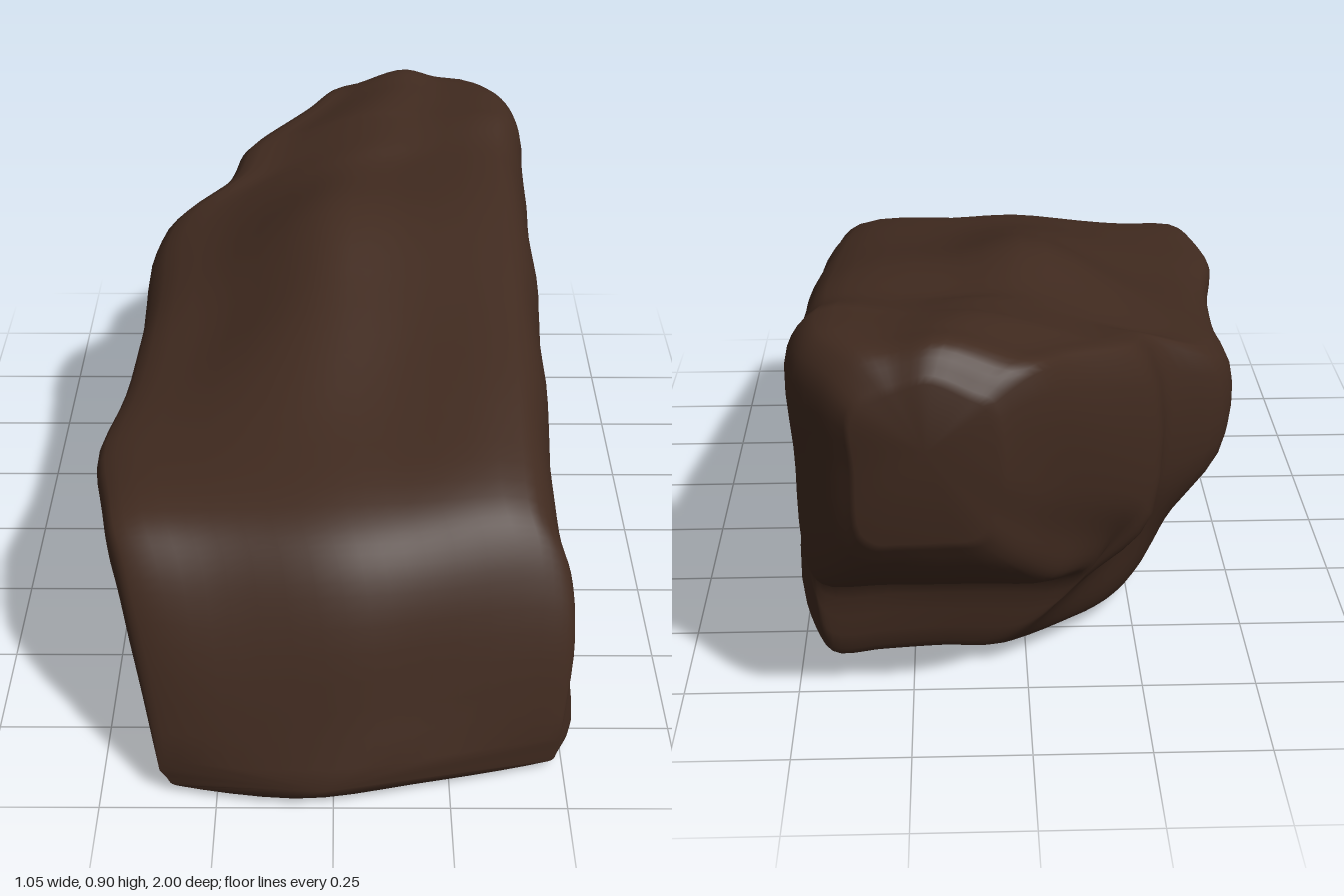
import * as THREE from 'three';

const AROUND = 64, ALONG = 64;
const mix = THREE.MathUtils.lerp;

// Cross-sections from front to back:
// z, base y, base left x, base right x, widest left x, its y, left shoulder y, crown y, right shoulder y, right x
const sections = [
  [1.0, .025, -.34, .48, -.37, .07, .09, .1, .09, .49],
  [.9, .01, -.34, .52, -.43, .33, .38, .4, .39, .51],
  [.82, .01, -.34, .52, -.46, .45, .5, .53, .51, .5],
  [.73, .005, -.34, .52, -.49, .51, .55, .59, .575, .475],
  [.45, .02, -.34, .52, -.525, .52, .56, .66, .645, .475],
  [.1, .02, -.34, .52, -.48, .48, .58, .76, .72, .485],
  [-.2, .03, -.31, .51, -.475, .47, .61, .835, .78, .49],
  [-.45, .035, -.19, .5, -.445, .45, .66, .82, .815, .49],
  [-.55, .045, -.1, .49, -.3, .4, .73, .845, .83, .49],
  [-.66, .055, .05, .46, -.265, .36, .76, .865, .86, .495],
  [-.7, .25, -.12, .47, -.24, .42, .77, .875, .865, .495],
  [-.82, .31, -.05, .46, -.11, .52, .81, .89, .875, .475],
  [-.92, .4, .02, .4, -.02, .58, .83, .895, .86, .41],
  [-.98, .5, .1, .34, .07, .64, .78, .83, .8, .35],
];

// Outline of one section, anticlockwise from the lower left
function outline([z, yb, bl, br, wl, wy, ty, yc, yr, xr]) {
  const h = yr - yb;
  const points = [
    [bl + .02, yb], [mix(bl, br, .33), yb], [mix(bl, br, .67), yb], [br - .03, yb],
    [br, yb + .08 * h], [mix(br, xr, .6), yb + .5 * h], [xr, yr - .12 * h],
    [xr - .06, yr], [mix(xr, wl, .33), mix(yr, yc, .4)], [mix(xr, wl, .53), yc],
    [mix(xr, wl, .8), mix(yc, ty, .6)], [wl + .02, ty],
    [wl, wy], [mix(wl, bl, .5), mix(wy, yb, .5)], [mix(bl, wl, .15), mix(yb, wy, .12)],
  ];
  // The front face is bowed in plan
  const bow = Math.max(0, (z - .5) / .5);
  return points.map(([x, y]) => new THREE.Vector3(
    x, y, z - bow * (x > -.03 ? .24 * (x + .03) : .14 * (-.03 - x))));
}

// Gentle weathered unevenness
function weather(p) {
  const { x, y, z } = p;
  const a = Math.sin(9 * x + 4 * z) * Math.sin(11 * y + 5 * z + 1);
  const b = Math.sin(17 * z + 6 * y) * Math.sin(13 * x - 8 * y);
  p.x += .004 * b;
  p.y = Math.max(.003, y + .005 * a);
  p.z += .006 * a * Math.min(1, Math.abs(z));
  return p;
}

function rockGeometry() {
  // Smooth around each outline, then along the length
  const rings = sections.map(s => {
    const curve = new THREE.CatmullRomCurve3(outline(s), true, 'centripetal');
    return Array.from({ length: AROUND }, (_, j) => curve.getPoint(j / AROUND));
  });
  const columns = Array.from({ length: AROUND }, (_, j) =>
    new THREE.CatmullRomCurve3(rings.map(r => r[j]), false, 'centripetal'));

  const pos = [], index = [];
  for (let i = 0; i <= ALONG; i++)
    for (const c of columns) pos.push(...weather(c.getPoint(i / ALONG)).toArray());
  for (let i = 0; i < ALONG; i++)
    for (let j = 0; j < AROUND; j++) {
      const k = (j + 1) % AROUND;
      const a = i * AROUND + j, b = i * AROUND + k, c = a + AROUND, d = b + AROUND;
      index.push(a, c, b, b, c, d);
    }

  // Close the front and back ends
  const last = ALONG * AROUND, front = pos.length / 3, back = front + 1;
  pos.push(-.02, .05, 1.0, .21, .7, -1.0);
  for (let j = 0; j < AROUND; j++) {
    const k = (j + 1) % AROUND;
    index.push(front, j, k, back, last + k, last + j);
  }

  const g = new THREE.BufferGeometry();
  g.setAttribute('position', new THREE.Float32BufferAttribute(pos, 3));
  g.setIndex(index);
  g.computeVertexNormals();
  return g;
}

export function createModel() {
  const group = new THREE.Group();
  group.name = 'boulder';
  const stone = new THREE.MeshStandardMaterial({ color: 0x402a1f });
  stone.name = 'dark brown stone';
  const rock = new THREE.Mesh(rockGeometry(), stone);
  rock.name = 'rock';
  group.add(rock);
  return group;
}
